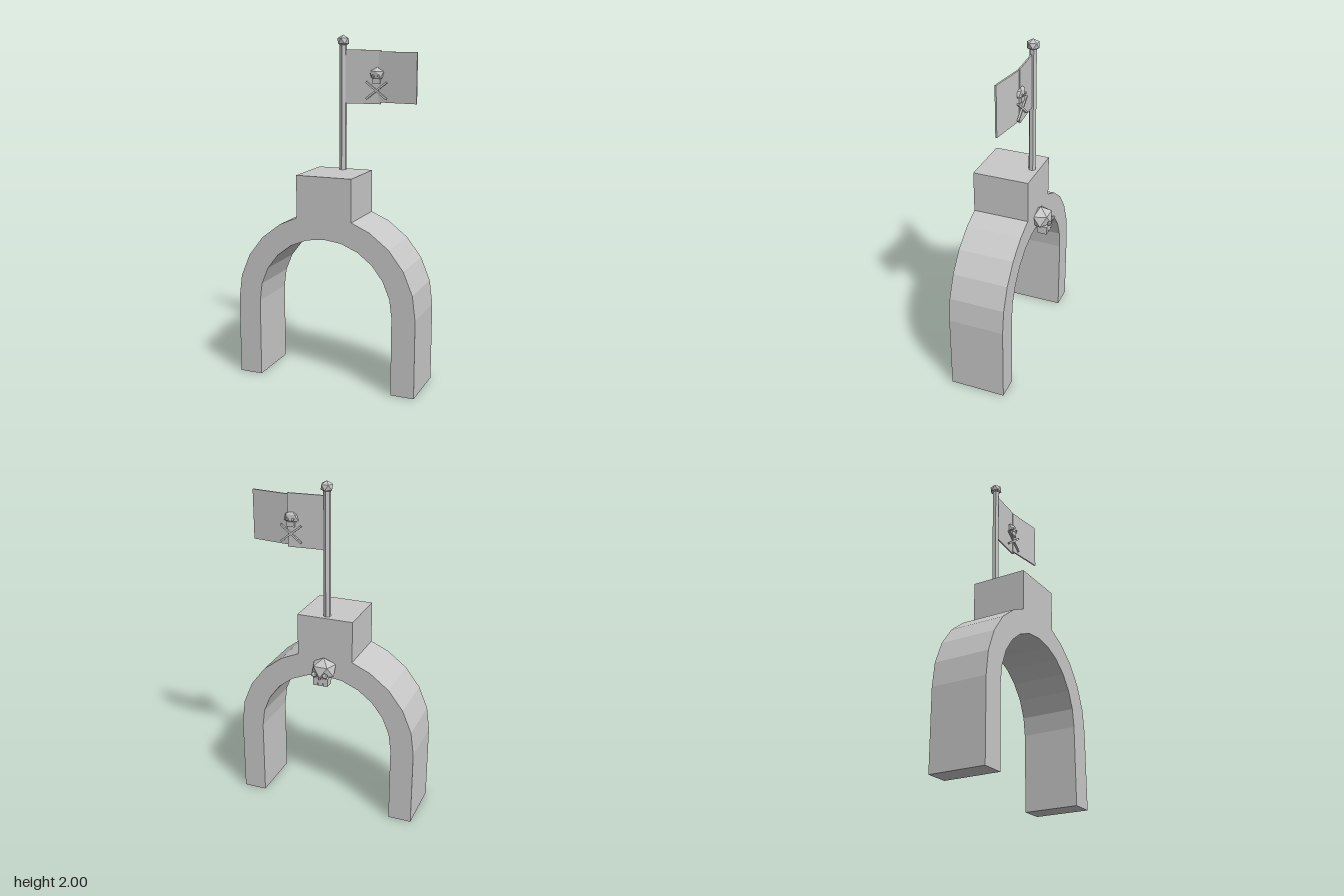
import * as THREE from 'three';

const stone = new THREE.MeshStandardMaterial({ color: 0xc8c8c8 });
stone.name = 'pale grey';

function add(parent, name, geometry, x = 0, y = 0, z = 0) {
  // Unshared vertices with recomputed normals keep every face flat
  const flat = geometry.index ? geometry.toNonIndexed() : geometry;
  flat.computeVertexNormals();
  const mesh = new THREE.Mesh(flat, stone);
  mesh.name = name;
  mesh.position.set(x, y, z);
  parent.add(mesh);
  return mesh;
}

// Icosahedron standing on a corner, scaled to the given radii
function gem(rx, ry, rz) {
  return new THREE.IcosahedronGeometry(1, 0)
    .rotateX(-Math.atan((1 + Math.sqrt(5)) / 2))
    .scale(rx, ry, rz);
}

// Arch and keystone block share one outline
function archGeometry() {
  const spring = 0.46, outer = 0.548, inner = 0.41, step = Math.PI / 12;
  const at = (r, i) => new THREE.Vector2(r * Math.cos(i * step), spring + r * Math.sin(i * step));
  const points = [new THREE.Vector2(inner, 0), new THREE.Vector2(outer, 0)];
  for (let i = 0; i <= 4; i++) points.push(at(outer, i));
  for (const [x, y] of [[0.167, 0.982], [0.167, 1.228], [-0.167, 1.228], [-0.167, 0.982]]) {
    points.push(new THREE.Vector2(x, y));
  }
  for (let i = 8; i <= 12; i++) points.push(at(outer, i));
  points.push(new THREE.Vector2(-outer, 0), new THREE.Vector2(-inner, 0));
  for (let i = 12; i >= 0; i--) points.push(at(inner, i));
  return new THREE.ExtrudeGeometry(new THREE.Shape(points), { depth: 0.33, bevelEnabled: false });
}

// Flag panel running between two points seen from above
function panel(parent, name, x0, z0, x1, z1, y, height) {
  const length = Math.hypot(x1 - x0, z1 - z0);
  const mesh = add(parent, name, new THREE.BoxGeometry(length, height, 0.009),
    (x0 + x1) / 2, y, (z0 + z1) / 2);
  mesh.rotation.y = -Math.atan2(z1 - z0, x1 - x0);
}

// Skull with crossed bones, raised on both faces of the flag
function createEmblem() {
  const emblem = new THREE.Group();
  emblem.name = 'flagEmblem';
  add(emblem, 'emblemSkull', gem(0.05, 0.04, 0.028), 0, 0.09, 0);
  add(emblem, 'emblemJaw', new THREE.BoxGeometry(0.046, 0.028, 0.04), 0, 0.053, 0);
  for (const face of [-1, 1]) {
    for (const side of [-1, 1]) {
      const bone = add(emblem, 'crossbone', new THREE.BoxGeometry(0.155, 0.011, 0.01), 0, 0, face * 0.015);
      bone.rotation.z = side * 0.66;
      add(emblem, 'emblemEye', gem(0.01, 0.009, 0.006), side * 0.017, 0.082, face * 0.025);
    }
  }
  return emblem;
}

// Carved skull on the back of the arch
function createSkull() {
  const skull = new THREE.Group();
  skull.name = 'archSkull';
  add(skull, 'cranium', gem(0.08, 0.068, 0.073), 0, 0, 0);
  add(skull, 'jaw', new THREE.BoxGeometry(0.09, 0.03, 0.06), 0, -0.052, -0.025);
  for (const i of [-1, 0, 1]) {
    add(skull, 'tooth', new THREE.BoxGeometry(0.026, 0.026, 0.055), i * 0.031, -0.072, -0.0265);
  }
  for (const side of [-1, 1]) {
    add(skull, 'eye', gem(0.019, 0.018, 0.012), side * 0.033, -0.013, -0.066);
  }
  const nose = add(skull, 'nose', new THREE.ConeGeometry(0.009, 0.018, 3), 0, -0.03, -0.066);
  nose.rotation.y = Math.PI;
  return skull;
}

export function createModel() {
  const model = new THREE.Group();
  model.name = 'flaggedArch';
  add(model, 'arch', archGeometry(), 0, 0, -0.12);

  // Flagpole and finial
  add(model, 'flagpole', new THREE.CylinderGeometry(0.021, 0.021, 0.76, 6), 0, 1.58, -0.08);
  add(model, 'finial', gem(0.038, 0.034, 0.038), 0, 1.966, -0.08);

  // Flag in two slightly bent panels
  const flag = new THREE.Group();
  flag.name = 'flag';
  panel(flag, 'innerPanel', 0.01, -0.077, 0.226, -0.092, 1.766, 0.303);
  panel(flag, 'outerPanel', 0.215, -0.087, 0.45, -0.056, 1.767, 0.284);
  model.add(flag);
  const emblem = createEmblem();
  emblem.position.set(0.205, 1.692, -0.086);
  model.add(emblem);

  const skull = createSkull();
  skull.position.set(0, 0.923, -0.136);
  model.add(skull);
  return model;
}
